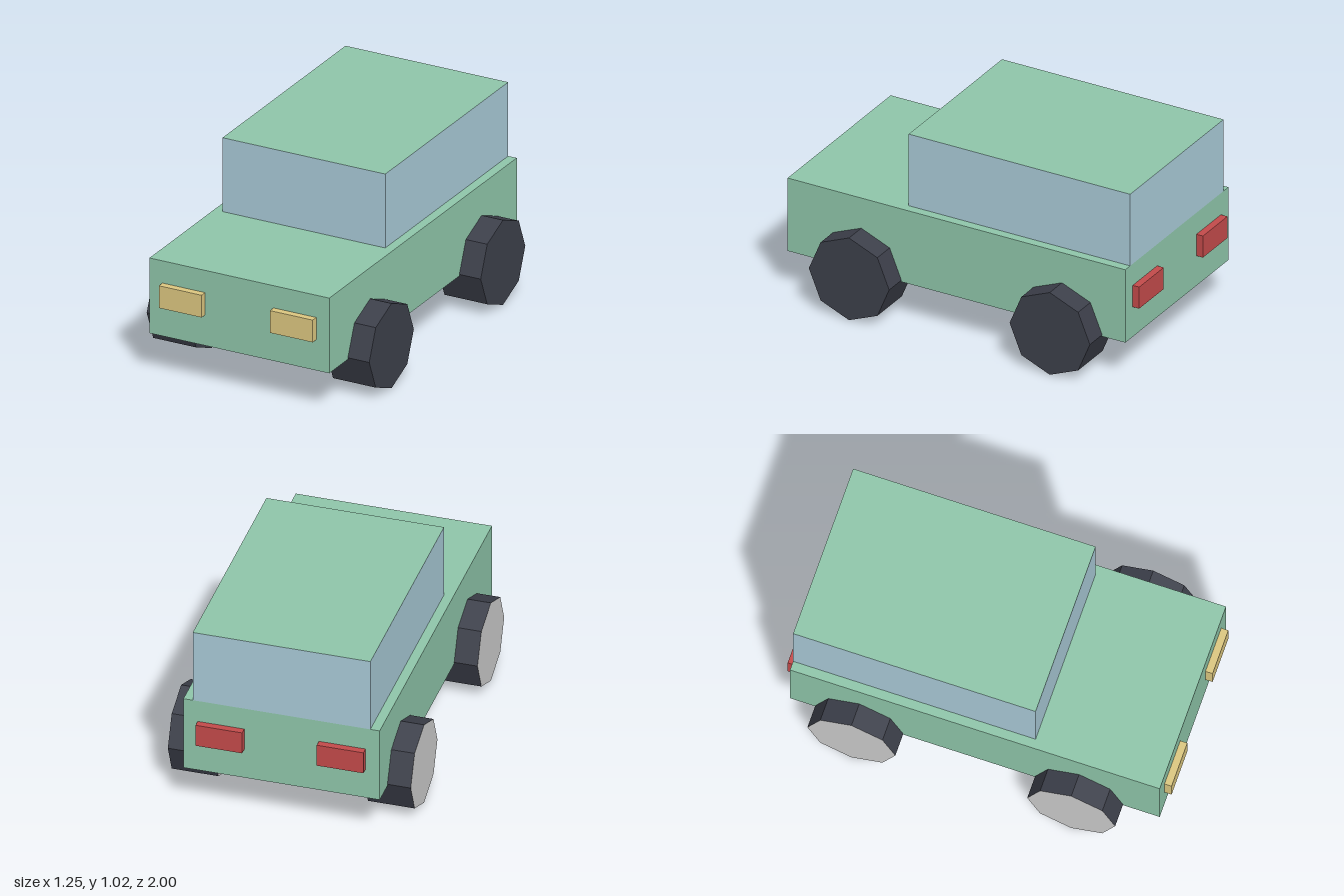
import * as THREE from 'three';

const mat = (color) => new THREE.MeshStandardMaterial({ color, flatShading: true });

export function createModel() {
  const car = new THREE.Group();
  car.name = 'car';
  const green = mat(0x8ec5a9), glass = mat(0xa8c9d6), tyre = mat(0x3c3f4a);
  const hub = mat(0xbebec0), amber = mat(0xdbc67f), red = mat(0xc24a4a);

  const add = (name, geometry, material, x, y, z) => {
    const mesh = new THREE.Mesh(geometry, material);
    mesh.name = name;
    mesh.position.set(x, y, z);
    car.add(mesh);
    return mesh;
  };

  // Lower body
  add('body', new THREE.BoxGeometry(1.01, 0.406, 1.926), green, 0, 0.423, 0);

  // Cabin: glass walls under a green roof (box face order: +x -x +y -y +z -z)
  add('cabin', new THREE.BoxGeometry(0.914, 0.399, 1.263),
    [glass, glass, green, glass, glass, glass], 0, 0.8255, -0.3315);

  // Lamps and wheels, one of each per side
  const lampGeo = new THREE.BoxGeometry(0.24, 0.12, 0.037);
  const wheelGeo = new THREE.CylinderGeometry(0.229, 0.229, 0.24, 8);
  wheelGeo.rotateZ(Math.PI / 2);
  for (const side of [1, -1]) {
    const label = side > 0 ? 'Left' : 'Right';
    add('headlight' + label, lampGeo, amber, side * 0.312, 0.446, 0.9815);
    add('tailLight' + label, lampGeo, red, side * 0.312, 0.446, -0.9815);
    // Wheel caps facing -x are light, the rest is dark
    add('frontWheel' + label, wheelGeo, [tyre, hub, tyre], side * 0.505, 0.229, 0.543);
    add('backWheel' + label, wheelGeo, [tyre, hub, tyre], side * 0.505, 0.229, -0.602);
  }
  return car;
}
